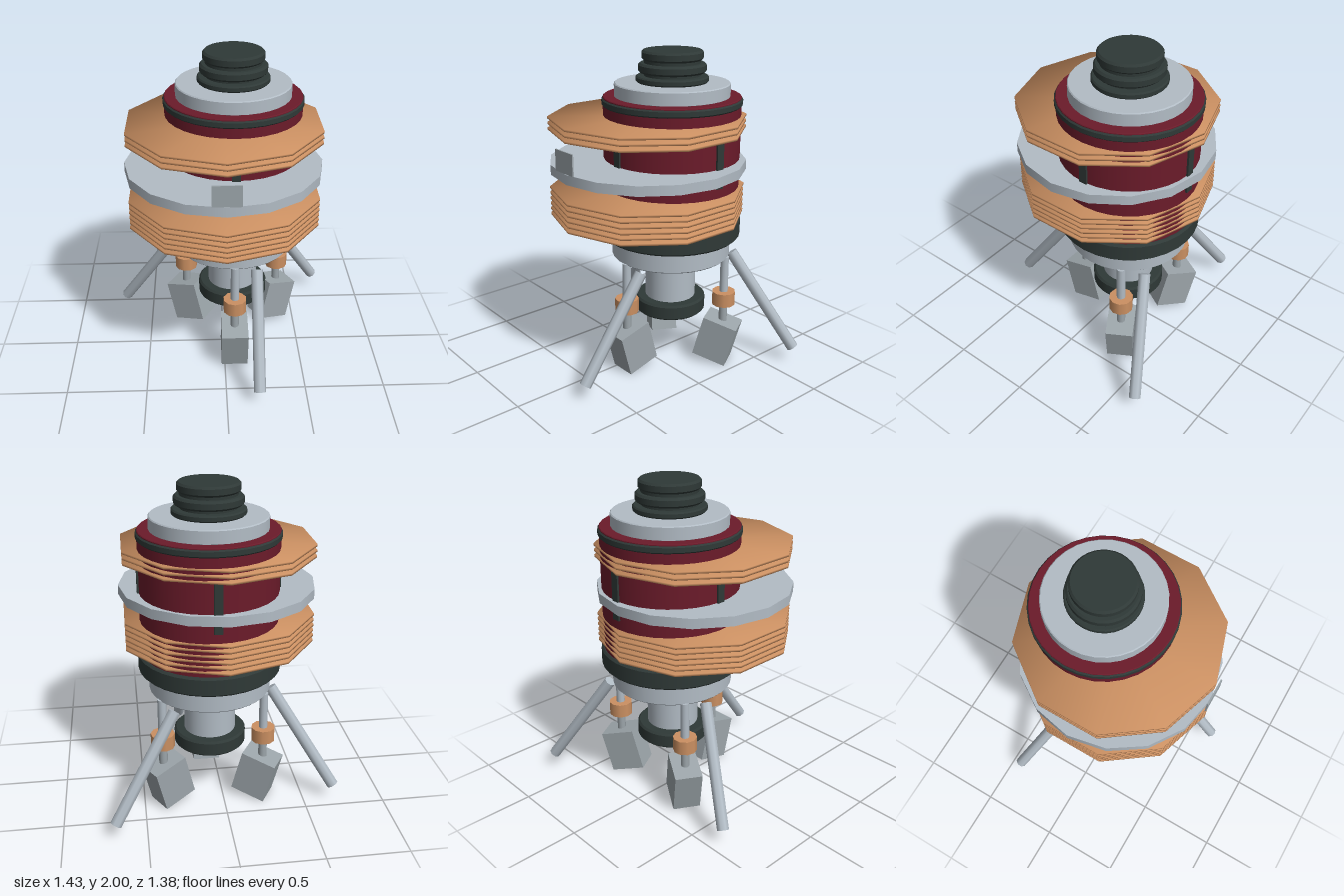
import * as THREE from 'three';

const mat = (name, color, side = THREE.FrontSide) => {
  const m = new THREE.MeshStandardMaterial({ color, side });
  m.name = name;
  return m;
};

export function createModel() {
  const silver = mat('silver', 0xb2bcc5);
  const steel = mat('steel', 0x9ca5aa);
  const black = mat('black', 0x2f3937);
  const red = mat('dark red', 0x6b1b2a);
  const copper = mat('copper', 0xcb9062);

  const model = new THREE.Group();
  const add = (parent, name, geometry, material, x = 0, y = 0, z = 0) => {
    const mesh = new THREE.Mesh(geometry, material);
    mesh.name = name;
    mesh.position.set(x, y, z);
    parent.add(mesh);
    return mesh;
  };

  // Core stack stands off-centre from the plates
  const core = new THREE.Group();
  core.name = 'core';
  core.position.set(0.064, 0, -0.139);
  model.add(core);

  // Drum with a small bevel on both rims
  const drum = (name, r, y0, y1, material, bevel = 0.008) => {
    const b = bevel;
    const pts = [[0, y0], [r - b, y0], [r - b, y0], [r, y0 + b], [r, y0 + b],
      [r, y1 - b], [r, y1 - b], [r - b, y1], [r - b, y1], [0, y1]];
    add(core, name, new THREE.LatheGeometry(pts.map(p => new THREE.Vector2(...p)), 32), material);
  };
  drum('footPad', 0.225, 0.33, 0.43, black, 0.012);
  drum('column', 0.161, 0.4, 0.74, silver, 0.002);
  drum('basePlate', 0.374, 0.72, 0.86, silver);
  drum('lowerBand', 0.436, 0.855, 0.975, black, 0.012);
  drum('body', 0.418, 0.96, 1.73, red, 0.004);
  drum('upperBand', 0.426, 1.675, 1.723, black, 0.01);
  drum('topPlate', 0.35, 1.725, 1.81, silver, 0.006);
  drum('capNeck', 0.17, 1.8, 1.97, black, 0.002);
  drum('capLower', 0.219, 1.812, 1.85, black, 0.008);
  drum('capMiddle', 0.204, 1.868, 1.925, black, 0.012);
  drum('capTop', 0.185, 1.942, 2.0, black, 0.012);

  // Four vertical clips on the body
  for (let i = 0; i < 4; i++) {
    const a = i * Math.PI / 2;
    const clip = add(core, 'clip', new THREE.BoxGeometry(0.05, 0.3, 0.03), black,
      0.413 * Math.sin(a), 1.39, 0.413 * Math.cos(a));
    clip.rotation.y = a;
  }

  // Ten-sided copper fins with softly shaded rims
  const fin = new THREE.CylinderGeometry(0.6, 0.6, 0.013, 10);
  const pos = fin.attributes.position;
  for (let i = 0; i < pos.count; i++) {
    const x = pos.getX(i), z = pos.getZ(i), r = Math.hypot(x, z);
    if (r < 0.01) continue;
    const n = new THREE.Vector3(x / r, Math.sign(pos.getY(i)) * 0.9, z / r).normalize();
    fin.attributes.normal.setXYZ(i, n.x, n.y, n.z);
  }
  for (const y of [1.005, 1.039, 1.072, 1.106, 1.14, 1.174, 1.543, 1.577, 1.611]) {
    add(model, 'fin', fin, copper, 0, y, 0);
  }

  // Wide middle ring and its small front panel
  add(model, 'middleRing', new THREE.CylinderGeometry(0.6, 0.6, 0.06, 16), silver, 0, 1.325, 0);
  add(model, 'frontPanel', new THREE.BoxGeometry(0.168, 0.128, 0.009), steel, -0.002, 1.428, 0.606);

  // Three splayed legs
  const strut = (name, from, to, r, material) => {
    const a = new THREE.Vector3(...from), b = new THREE.Vector3(...to);
    const dir = b.clone().sub(a), mid = a.clone().add(b).multiplyScalar(0.5);
    const mesh = add(model, name, new THREE.CylinderGeometry(r, r, dir.length(), 8), material, mid.x, mid.y, mid.z);
    mesh.quaternion.setFromUnitVectors(new THREE.Vector3(0, 1, 0), dir.normalize());
  };
  strut('rightLeg', [-0.31, 0.71, -0.205], [-0.685, 0.1, -0.425], 0.037, silver);
  strut('leftLeg', [0.31, 0.71, -0.445], [0.685, 0.1, -0.66], 0.037, silver);
  strut('frontLeg', [0.2, 0.71, 0.22], [0.2, 0.1, 0.65], 0.037, silver);

  // Three hanging pods: rod, copper collar and tilted block
  for (let i = 0; i < 3; i++) {
    const pod = new THREE.Group();
    pod.name = 'pod';
    pod.rotation.y = i * Math.PI * 2 / 3;
    core.add(pod);
    add(pod, 'rod', new THREE.CylinderGeometry(0.027, 0.027, 0.27, 12), silver, 0, 0.595, 0.36);
    add(pod, 'lowerRod', new THREE.CylinderGeometry(0.027, 0.027, 0.2, 12), steel, 0, 0.36, 0.36);
    add(pod, 'collar', new THREE.CylinderGeometry(0.074, 0.074, 0.088, 10), copper, 0, 0.452, 0.36);
    const block = add(pod, 'block', new THREE.BoxGeometry(0.17, 0.275, 0.222), steel, 0, 0.162, 0.327);
    block.rotation.x = 0.26;
  }

  return model;
}
